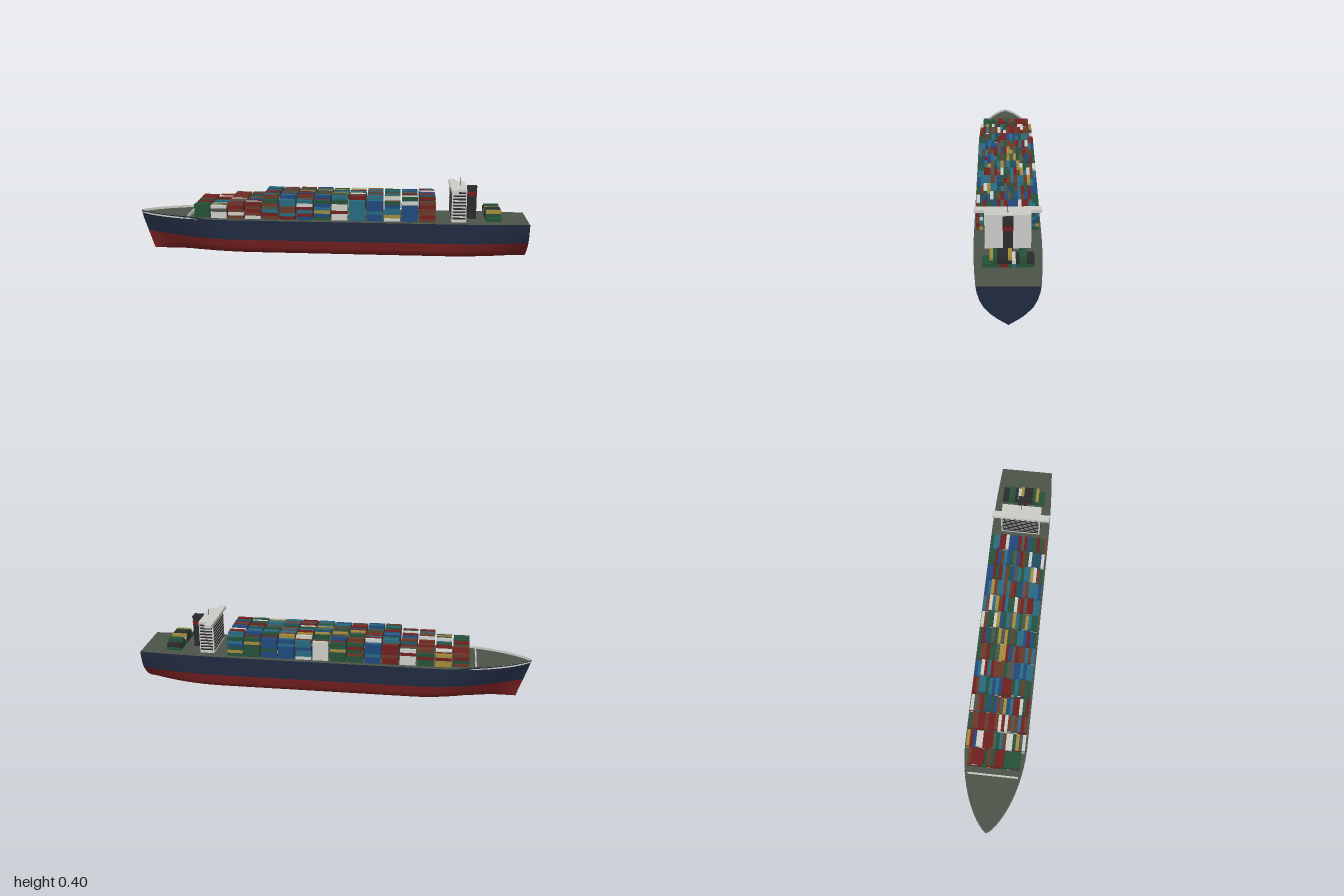
import * as THREE from 'three';
import { mergeGeometries } from 'three/addons/utils/BufferGeometryUtils.js';

const mat = (name, color, side = THREE.FrontSide) => {
  const m = new THREE.MeshStandardMaterial({ color, side });
  m.name = name;
  return m;
};

// Surface through equal-length rows of [x, y, z] points
function loft(rows) {
  const n = rows[0].length, index = [];
  for (let i = 0; i < rows.length - 1; i++) {
    for (let j = 0; j < n - 1; j++) {
      const a = i * n + j, b = a + n;
      index.push(a, a + 1, b, a + 1, b + 1, b);
    }
  }
  const g = new THREE.BufferGeometry();
  g.setAttribute('position', new THREE.Float32BufferAttribute(rows.flat(2), 3));
  g.setIndex(index);
  g.computeVertexNormals();
  return g;
}

// Hull levels: height, half-beam amidships, half-beam at the transom
const LEVELS = [
  [0, 0, 0], [0.004, 0.045, 0.006], [0.01, 0.09, 0.015], [0.03, 0.145, 0.045],
  [0.055, 0.153, 0.075], [0.092, 0.155, 0.106], [0.125, 0.155, 0.122],
  [0.16, 0.155, 0.132], [0.193, 0.155, 0.137],
];
const TOP = LEVELS.length - 1, WATER = 5, STATIONS = 56, DECK = 0.192;

function hullPoint(level, i) {
  const [y, mid, transom] = LEVELS[level];
  const rise = y / LEVELS[TOP][0];
  const stem = -0.935 - 0.065 * rise;
  const s = (1 - Math.cos((Math.PI * i) / STATIONS)) / 2;
  const x = THREE.MathUtils.lerp(stem, 1, s);
  const u = Math.min(1, (x - stem) / (0.55 - 0.1 * rise));
  const bow = Math.pow(1 - (1 - u) ** 2, 1.7 - 0.97 * rise);
  const stern = Math.max(0, (x - 0.57) / 0.43) ** 2;
  const half = THREE.MathUtils.lerp(mid, transom, stern) * bow;
  const bulwark = level === TOP ? 0.012 * THREE.MathUtils.smoothstep(-x, 0.58, 0.72) : 0;
  return [x, y + bulwark, half];
}

const mirrorZ = ([x, y, z]) => [x, y, -z];

// Container colours by letter, listed from the bottom tier up, one word per bay
const LEFT_SIDE = ('gggg wwdw mwmrm wmrmr mrtdmg rtmmtt brtrwt gbytbg wwrwwg tttttt bbtbbb '
  + 'wyttbg bbbbbw mrmmrm').split(' ');
const RIGHT_SIDE = ('mgrm yyry ggrg wwwrw rrmrrr bbtbbb ggmgrg gggygg wwwwww wttbtt bbbbtb '
  + 'bbgbbb ggggyg gygbtg').split(' ');
// Leading colours across the inner rows, right to left, one word per bay
const INNER = ('rrrrgg rwrgwr mrrwmr mrmgrg mgbrdm trmdtr mryrmr bgygtb mwgywt gttwgt mtmbtt '
  + 'btmbtb gbwbwb trbrbt').split(' ');
// Small stern stack, one word per row, right to left
const STERN = 'gk gk ggg ggg gk tw gky rkk rkk gkk ggg ggy g g'.split(' ');
const MIX = 'rrrmmmggggttbbwydd';

export function createModel() {
  const navy = mat('navyHull', 0x202a40);
  const red = mat('red', 0x701e1e);
  const deckGreen = mat('deckGreen', 0x4b5348);
  const white = mat('white', 0xcacac5, THREE.DoubleSide);
  const charcoal = mat('charcoal', 0x2a2a2c);
  const rust = mat('rust', 0x693828);
  const green = mat('green', 0x245038);
  const teal = mat('teal', 0x28697f);
  const blue = mat('blue', 0x20477c);
  const yellow = mat('yellow', 0xa08a3a);
  const paint = { r: red, m: rust, g: green, t: teal, b: blue, y: yellow, w: white, d: deckGreen, k: charcoal };

  const ship = new THREE.Group();
  ship.name = 'containerShip';
  const add = (name, geometry, material, parent = ship) => {
    const mesh = new THREE.Mesh(geometry, material);
    mesh.name = name;
    parent.add(mesh);
    return mesh;
  };
  // Box given by its limits on each axis
  const boxGeo = (x0, x1, y0, y1, z0, z1) =>
    new THREE.BoxGeometry(x1 - x0, y1 - y0, z1 - z0)
      .translate((x0 + x1) / 2, (y0 + y1) / 2, (z0 + z1) / 2);

  // Hull: red below the waterline, navy above
  const stations = [...Array(STATIONS + 1).keys()];
  const lower = [], left = [], right = [];
  for (const i of stations) {
    const half = LEVELS.map((_, k) => hullPoint(k, i));
    const below = half.slice(0, WATER + 1), above = half.slice(WATER);
    lower.push([...below.slice().reverse(), ...below.slice(1).map(mirrorZ)]);
    left.push(above.slice().reverse());
    right.push(above.map(mirrorZ));
  }
  add('hullBottom', loft(lower), red);
  add('hullSide', loft(left), navy);
  add('hullSideMirrored', loft(right), navy);
  const end = LEVELS.map((_, k) => hullPoint(k, STATIONS)).reverse();
  add('transom', loft([end, end.map(mirrorZ)]), navy);

  // Flat deck, and the pale inside of the bow bulwark
  const edge = stations.map((i) => hullPoint(TOP, i));
  const deckEdge = edge.map(([x, , z]) => [x, DECK, z]);
  add('deck', loft([deckEdge, deckEdge.map(mirrorZ)]), deckGreen);
  const inset = edge.filter(([x]) => x < -0.58)
    .map(([x, y, z]) => [x + 0.002, y - 0.0005, Math.max(0, z - 0.001)]);
  const foot = inset.map(([x, , z]) => [x, DECK, z]);
  add('bowBulwark', loft([inset, foot]), white);
  add('bowBulwarkMirrored', loft([inset.map(mirrorZ), foot.map(mirrorZ)]), white);
  add('breakwater', boxGeo(-0.724, -0.718, DECK, 0.21, -0.125, 0.125), white);

  // Containers, gathered by colour
  let seed = 17;
  const rand = () => (seed = (seed * 16807) % 2147483647) / 2147483647;
  const boxes = {};
  const W = 0.0161, H = 0.0167, BASE = 0.2;
  const stack = (x0, length, z, colours) => {
    [...colours].forEach((c, t) => {
      const y = BASE + t * H;
      (boxes[c] ??= []).push(boxGeo(x0, x0 + length, y, y + H, z - W / 2, z + W / 2));
    });
  };
  const mixed = (count, main) => Array.from({ length: count },
    () => (rand() < 0.4 ? main : MIX[Math.floor(rand() * MIX.length)]));
  const hatches = [];
  for (let bay = 0; bay < 14; bay++) {
    const x0 = -0.686 + bay * 0.0877;
    const tiers = bay < 2 ? 4 : bay < 4 ? 5 : 7;
    const rows = bay === 0 ? 16 : 18;
    for (let r = 0; r < rows; r++) {
      const rim = Math.min(r, rows - 1 - r);
      const drop = bay > 3 && rim < 2 ? 1 : rim > 1 && rand() < 0.3 ? 1 : 0;
      const colours = r === 0 ? RIGHT_SIDE[bay] : r === rows - 1 ? LEFT_SIDE[bay]
        : mixed(tiers - drop, INNER[bay][Math.floor((r * 6) / rows)]);
      stack(x0, 0.079, (r - (rows - 1) / 2) * W, colours);
    }
    const w = (rows * W) / 2 - 0.012;
    hatches.push(boxGeo(x0 + 0.003, x0 + 0.076, 0.19, BASE, -w, w));
  }
  add('hatchCovers', mergeGeometries(hatches), deckGreen);
  STERN.forEach((colours, r) => stack(0.786, 0.076, (r - 6.5) * W, colours));
  for (const c in boxes) add(`${paint[c].name}Containers`, mergeGeometries(boxes[c]), paint[c]);

  // Accommodation block with bridge wings and window bands
  const house = new THREE.Group();
  house.name = 'accommodation';
  ship.add(house);
  add('block', boxGeo(0.614, 0.688, 0.19, 0.361, -0.104, 0.104), white, house);
  add('bridgeWings', boxGeo(0.609, 0.643, 0.346, 0.362, -0.151, 0.151), white, house);
  const bands = [];
  for (let k = 0; k < 9; k++) {
    const y = 0.208 + k * 0.0163, h = y + 0.008;
    bands.push(boxGeo(0.612, 0.615, y, h, -0.096, 0.096));
    for (const z of [-0.104, 0.104]) bands.push(boxGeo(0.62, 0.683, y, h, z - 0.0015, z + 0.0015));
  }
  add('windowBands', mergeGeometries(bands), charcoal, house);
  const mast = add('mast', new THREE.CylinderGeometry(0.001, 0.002, 0.04, 8), charcoal, house);
  mast.position.set(0.662, 0.38, 0);

  // Funnel with a red band
  const funnel = new THREE.Group();
  funnel.name = 'funnel';
  ship.add(funnel);
  add('funnelCasing', boxGeo(0.697, 0.743, 0.19, 0.353, -0.0225, 0.0225), charcoal, funnel);
  add('funnelBand', boxGeo(0.696, 0.744, 0.312, 0.331, -0.0235, 0.0235), red, funnel);
  add('funnelCap', boxGeo(0.695, 0.745, 0.353, 0.358, -0.0245, 0.0245), charcoal, funnel);

  return ship;
}
